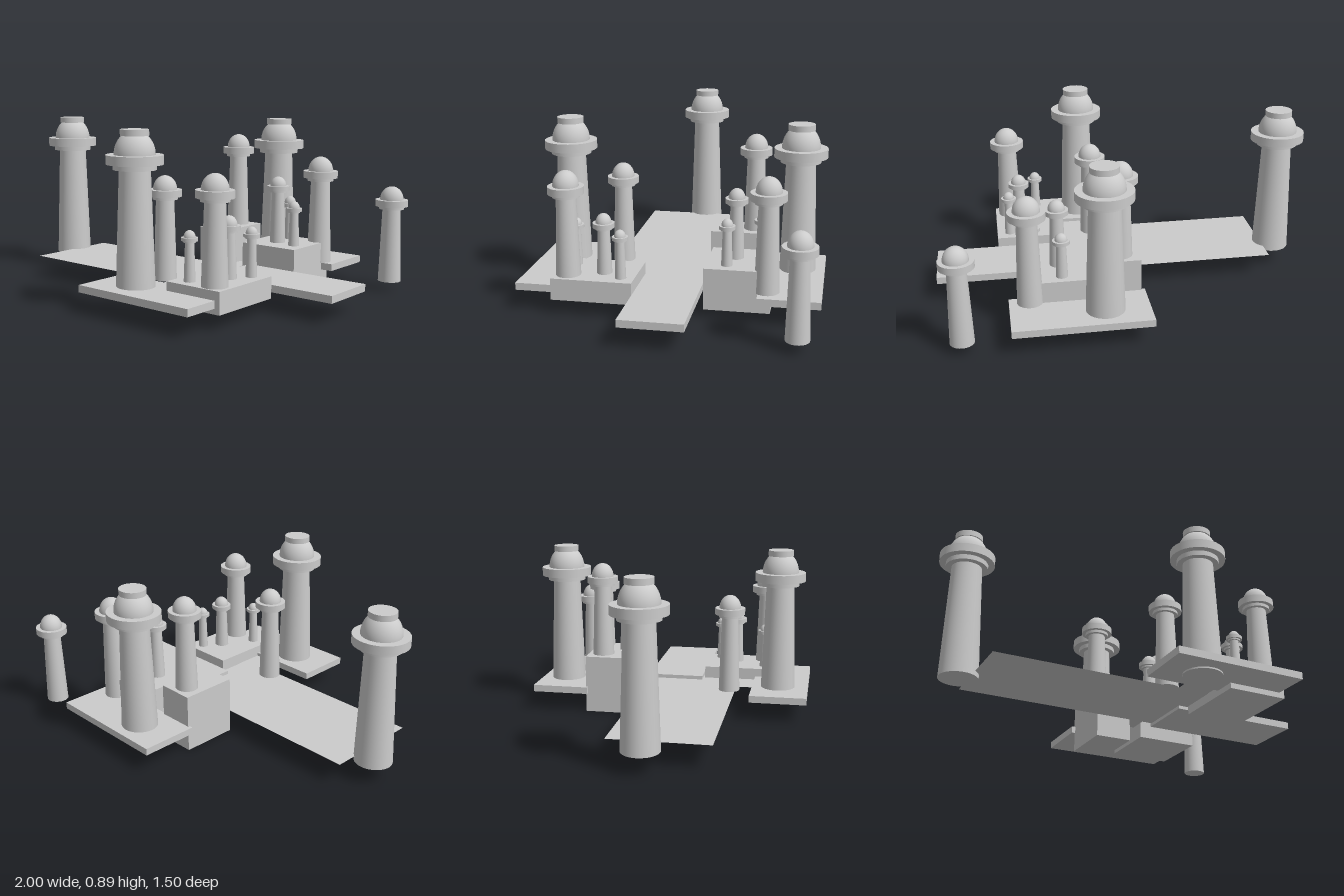
import * as THREE from 'three';

const grey = new THREE.MeshStandardMaterial({ color: 0xcccccc });
const greyThin = new THREE.MeshStandardMaterial({ color: 0xcccccc, side: THREE.DoubleSide });

// Box given by its limits on each axis
function block(name, x0, x1, y0, y1, z0, z1) {
  const mesh = new THREE.Mesh(new THREE.BoxGeometry(x1 - x0, y1 - y0, z1 - z0), grey);
  mesh.position.set((x0 + x1) / 2, (y0 + y1) / 2, (z0 + z1) / 2);
  mesh.name = name;
  return mesh;
}

// Thin flat sheet lying at one height
function sheet(name, x0, x1, z0, z1, y = 0.12) {
  const mesh = new THREE.Mesh(new THREE.PlaneGeometry(x1 - x0, z1 - z0).rotateX(-Math.PI / 2), greyThin);
  mesh.position.set((x0 + x1) / 2, y, (z0 + z1) / 2);
  mesh.name = name;
  return mesh;
}

// Tapered shaft, neck ring, wide collar and dome; great towers also get a flat cap
function tower(name, x, z, base, top, R, great = false) {
  const group = new THREE.Group();
  group.name = name;
  const drum = (part, rTop, rBottom, y0, y1) => {
    const mesh = new THREE.Mesh(new THREE.CylinderGeometry(rTop, rBottom, y1 - y0, 32), grey);
    mesh.position.y = (y0 + y1) / 2;
    mesh.name = part;
    group.add(mesh);
  };
  const collarTop = great ? top - 0.12 : top - 0.82 * R;
  const collarBottom = collarTop - (great ? 0.32 : 0.4) * R;
  const neckBottom = collarBottom - 0.18 * R;
  const domeR = 0.72 * R;
  const domeH = great ? 0.115 : top - collarTop;
  drum('shaft', 0.55 * R, 0.7 * R, base, neckBottom);
  drum('neckRing', 0.76 * R, 0.76 * R, neckBottom, collarBottom);
  drum('collar', R, R, collarBottom, collarTop);
  const dome = new THREE.Mesh(
    new THREE.SphereGeometry(domeR, 32, 12, 0, Math.PI * 2, 0, Math.PI / 2), grey);
  dome.scale.y = domeH / domeR;
  dome.position.y = collarTop;
  dome.name = 'dome';
  group.add(dome);
  if (great) drum('cap', 0.5 * R, 0.5 * R, top - 0.03, top);
  group.position.set(x, 0, z);
  group.scale.z = 0.95;
  return group;
}

export function createModel() {
  const model = new THREE.Group();
  model.name = 'towerCity';

  // Platforms
  model.add(
    block('backPlatform', -0.05, 0.64, 0.103, 0.14, -0.755, -0.45),
    block('frontPlatform', -0.05, 0.64, 0.103, 0.14, 0.44, 0.745),
    block('sidePlatform', 0.3, 1, 0.103, 0.14, -0.17, 0.14),
  );

  // Raised blocks
  model.add(
    block('tallBlock', -0.03, 0.165, 0, 0.31, -0.46, -0.16),
    block('backBlock', 0.245, 0.575, 0.04, 0.25, -0.51, -0.185),
    block('frontBlock', 0.35, 0.668, 0.075, 0.185, 0.15, 0.555),
  );

  // Thin plaza and connecting sheets
  model.add(
    sheet('plaza', -0.8, 0.43, -0.16, 0.35),
    sheet('backWalk', 0.16, 0.245, -0.27, -0.1, 0.122),
    sheet('frontWalk', 0.18, 0.36, 0.28, 0.46, 0.122),
  );

  // Great towers
  for (const [x, z] of [[-0.86, 0.025], [0.175, -0.615], [0.175, 0.58]])
    model.add(tower('greatTower', x, z, 0.095, 0.895, 0.142, true));

  // Lesser towers: x, z, base, top, collar radius
  const lesser = [
    [0.065, -0.38, 0.31, 0.815, 0.087],
    [0.535, -0.49, 0.14, 0.71, 0.093],
    [0.873, -0.66, 0.05, 0.56, 0.086],
    [0.13, 0.315, 0.12, 0.65, 0.086],
    [0.585, 0.485, 0.185, 0.71, 0.093],
    [0.378, -0.32, 0.25, 0.605, 0.06],
    [0.37, -0.45, 0.25, 0.485, 0.044],
    [0.502, -0.29, 0.25, 0.485, 0.042],
    [0.535, 0.315, 0.185, 0.49, 0.057],
    [0.597, 0.218, 0.185, 0.43, 0.041],
    [0.434, 0.485, 0.185, 0.43, 0.041],
  ];
  for (const t of lesser) model.add(tower('lesserTower', ...t));

  return model;
}
